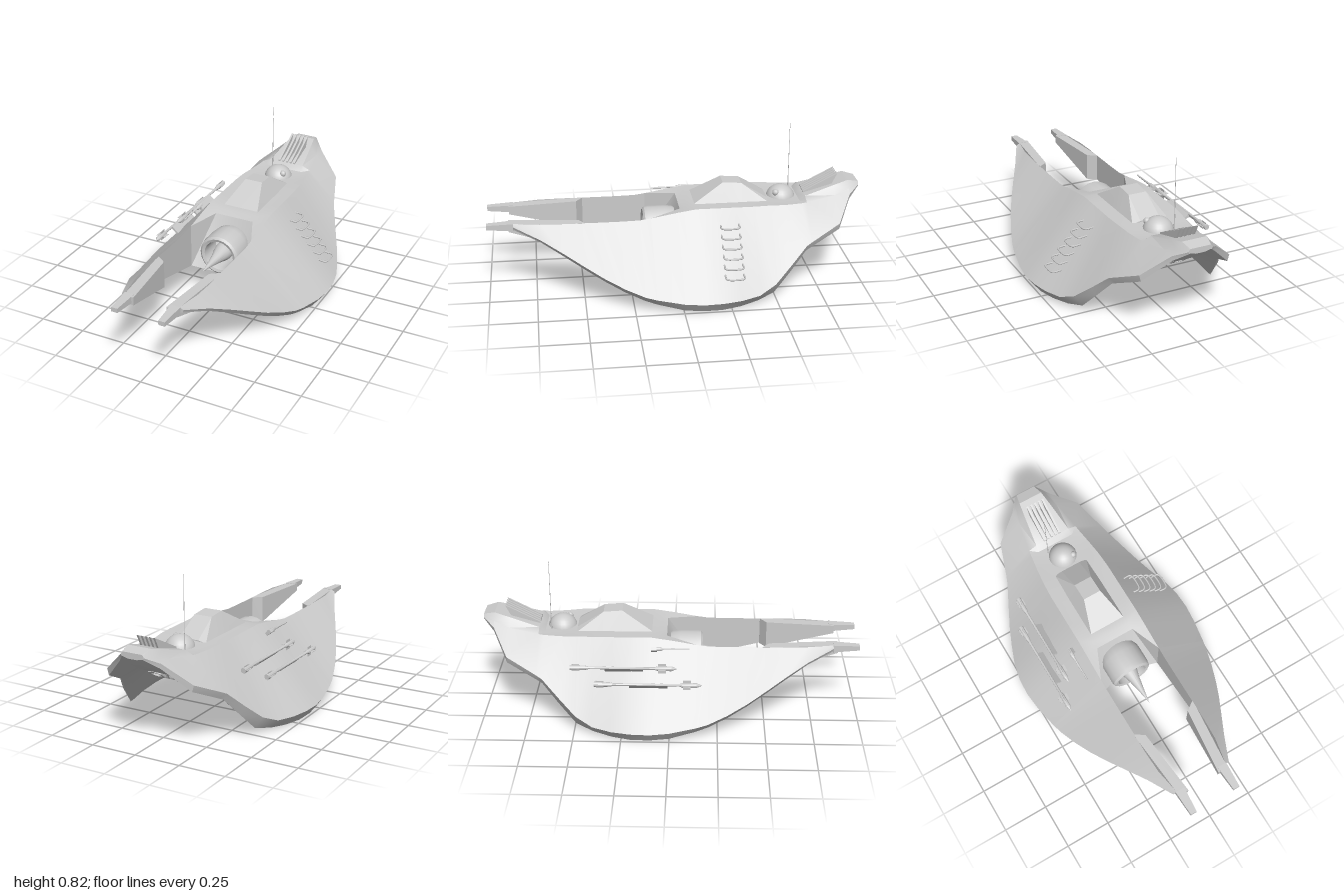
import * as THREE from 'three';
import { toCreasedNormals } from 'three/addons/utils/BufferGeometryUtils.js';

const mat = new THREE.MeshStandardMaterial({ color: 0xcccccc });
const flat = new THREE.MeshStandardMaterial({ color: 0xcccccc, flatShading: true });
const open = new THREE.MeshStandardMaterial({ color: 0xcccccc, side: THREE.DoubleSide });
const openFlat = new THREE.MeshStandardMaterial({ color: 0xcccccc, side: THREE.DoubleSide, flatShading: true });

function add(parent, name, geo, material = mat, x = 0, y = 0, z = 0) {
  const m = new THREE.Mesh(geo, material);
  m.name = name;
  m.position.set(x, y, z);
  parent.add(m);
  return m;
}

// Skins rings of [x, y, z] points (front to back, clockwise from the front) and mirrors them across x = 0.
function loft(rings, { closed = false, front = null, back = null, crease = 0.45 } = {}) {
  const pos = [];
  const tri = (a, b, c) => {
    pos.push(...a, ...b, ...c);
    for (const p of [a, c, b]) pos.push(-p[0], p[1], p[2]);
  };
  const n = rings[0].length;
  for (let i = 0; i + 1 < rings.length; i++) {
    for (let j = 0; j < (closed ? n : n - 1); j++) {
      const k = (j + 1) % n;
      const [a, b, c, d] = [rings[i][j], rings[i][k], rings[i + 1][k], rings[i + 1][j]];
      tri(a, b, c);
      tri(a, c, d);
    }
  }
  const cap = (ring, ids, flip) => {
    for (let k = 1; k + 1 < ids.length; k++) {
      const [a, b, c] = [ring[ids[0]], ring[ids[k]], ring[ids[k + 1]]];
      flip ? tri(a, c, b) : tri(a, b, c);
    }
  };
  if (front) cap(rings[0], front, true);
  if (back) cap(rings[rings.length - 1], back, false);
  const g = new THREE.BufferGeometry();
  g.setAttribute('position', new THREE.Float32BufferAttribute(pos, 3));
  return toCreasedNormals(g, crease);
}

// Flat plate cut from a [z, y] outline, w thick, centred on x
function plate(points, w, x) {
  const shape = new THREE.Shape(points.map(p => new THREE.Vector2(p[0], p[1])));
  return new THREE.ExtrudeGeometry(shape, { depth: w, bevelEnabled: false })
    .rotateY(-Math.PI / 2).translate(x + w / 2, 0, 0);
}

// Turned part along z from [radius, z] points
function turned(points, sides, crease = 0.6) {
  const g = new THREE.LatheGeometry(points.map(p => new THREE.Vector2(p[0], p[1])), sides);
  return toCreasedNormals(g.rotateX(Math.PI / 2), crease);
}

function addHull(g) {
  // z, ridge x y, outer top x y, outer bottom x y, deck y, keel y, deck half width
  const body = [
    [0.14, 0.18, 0.405, 0.49, 0.08, 0.455, 0.04, 0.425, 0.133, 0.11],
    [0, 0.18, 0.43, 0.515, 0.06, 0.48, 0.01, 0.435, 0.135, 0.11],
    [-0.1, 0.18, 0.445, 0.525, 0.055, 0.488, 0.003, 0.442, 0.145, 0.11],
    [-0.2, 0.18, 0.445, 0.52, 0.055, 0.48, 0, 0.442, 0.165, 0.11],
    [-0.3, 0.18, 0.445, 0.498, 0.055, 0.453, 0.002, 0.442, 0.187, 0.11],
    [-0.4, 0.18, 0.445, 0.46, 0.06, 0.415, 0.012, 0.442, 0.21, 0.11],
    [-0.49, 0.175, 0.445, 0.42, 0.1, 0.375, 0.035, 0.44, 0.235, 0.11],
    [-0.58, 0.165, 0.44, 0.37, 0.18, 0.34, 0.13, 0.435, 0.265, 0.108],
    [-0.67, 0.152, 0.44, 0.32, 0.265, 0.3, 0.23, 0.437, 0.3, 0.106],
    [-0.7, 0.148, 0.443, 0.308, 0.28, 0.29, 0.245, 0.462, 0.313, 0.102],
    [-0.86, 0.118, 0.465, 0.25, 0.355, 0.24, 0.32, 0.508, 0.385, 0.08],
    [-0.94, 0.095, 0.49, 0.12, 0.465, 0.115, 0.44, 0.53, 0.435, 0.068],
    [-1, 0.06, 0.51, 0.065, 0.5, 0.06, 0.49, 0.515, 0.484, 0.055],
  ];
  // The front edge of the deck is set back between the prongs
  const deckZ = z => (z > 0.1 ? -0.02 : z > -0.05 ? -0.06 : z);
  const bellyZ = z => (z > 0.1 ? 0.1 : z);
  add(g, 'hull', loft(body.map(([z, xr, yr, xo, yo, xb, yb, yt, yc, w]) => [
    [0, yt, deckZ(z)], [w, yt, deckZ(z)], [xr, yr, z], [xo, yo, z], [xb, yb, z], [xr, yc + xr * 0.15, z],
    [xr * 0.42, yc, bellyZ(z)], [0, yc, bellyZ(z)],
  ]), { front: [1, 2, 5, 6, 7, 0], back: [0, 1, 2, 3, 4, 5, 6, 7] }));

  // z, ridge x y, outer top x y, outer bottom x y, inner bottom x y
  const prong = [
    [0.86, 0.15, 0.397, 0.172, 0.387, 0.168, 0.372, 0.15, 0.365],
    [0.72, 0.175, 0.397, 0.238, 0.335, 0.222, 0.317, 0.175, 0.32],
    [0.6, 0.18, 0.396, 0.302, 0.277, 0.282, 0.255, 0.18, 0.285],
    [0.5, 0.18, 0.395, 0.355, 0.225, 0.33, 0.2, 0.18, 0.25],
    [0.4, 0.18, 0.395, 0.402, 0.173, 0.375, 0.147, 0.18, 0.225],
    [0.3, 0.18, 0.395, 0.442, 0.128, 0.412, 0.098, 0.18, 0.2],
    [0.2, 0.18, 0.397, 0.475, 0.092, 0.442, 0.058, 0.18, 0.175],
    [0.14, 0.18, 0.405, 0.49, 0.08, 0.455, 0.04, 0.18, 0.16],
  ];
  add(g, 'wingProngs', loft(prong.map(([z, ...p]) => [0, 2, 4, 6].map(i => [p[i], p[i + 1], z])),
    { closed: true, front: [0, 1, 2, 3] }));

  // Thickened inner blocks and tips of the prongs: z, inner x, outer x, bottom y, top y
  const box = ([z, a, b, lo, hi]) => [[a, hi, z], [b, hi, z], [b, lo, z], [a, lo, z]];
  const block = [[0.885, 0.092, 0.148, 0.352, 0.396], [0.52, 0.13, 0.181, 0.245, 0.395], [0.485, 0.179, 0.181, 0.245, 0.395]];
  const tip = [[1, 0.113, 0.148, 0.368, 0.392], [0.86, 0.103, 0.155, 0.358, 0.398]];
  for (const [name, rows] of [['prongBlocks', block], ['prongTips', tip]]) {
    add(g, name, loft(rows.map(box), { closed: true, front: [0, 1, 2, 3], back: [0, 1, 2, 3], crease: 0.1 }));
  }
}

function addEngine(g) {
  add(g, 'engineNacelle', turned([[0.09, -0.03], [0.11, 0.01], [0.115, 0.05], [0.115, 0.14], [0.112, 0.16], [0.1, 0.17],
    [0.085, 0.165], [0.08, 0.14], [0.08, 0.03], [0, 0.03]], 20), open, 0, 0.28, 0);
  add(g, 'engineSpike', turned([[0.05, 0.02], [0.05, 0.11], [0.044, 0.14], [0.03, 0.19], [0.014, 0.27], [0, 0.35]], 20),
    mat, 0, 0.28, 0);
  // Six-sided nozzle under the tail
  const nozzle = add(g, 'tailNozzle', new THREE.LatheGeometry(
    [[0.055, -0.04], [0.045, 0.015], [0.03, 0.015], [0.022, -0.005], [0, -0.005]].map(p => new THREE.Vector2(...p)), 6),
    openFlat, 0, 0.358, -0.79);
  nozzle.rotation.x = -Math.PI * 0.8;
}

function addDeck(g) {
  // Canopy: z, top half width, top y, base half width
  const canopy = [[-0.1, 0.1, 0.445, 0.105], [-0.26, 0.05, 0.54, 0.105], [-0.36, 0.05, 0.532, 0.105], [-0.5, 0.055, 0.446, 0.1]];
  add(g, 'canopy', loft(canopy.map(([z, w, y, b]) => [[0, y, z], [w, y, z], [b, 0.435, z]]),
    { back: [0, 1, 2], crease: 0.1 }));

  // Sensor dome, lens and aerial
  add(g, 'sensorDome', new THREE.SphereGeometry(0.08, 24, 8, 0, Math.PI * 2, 0, Math.PI / 2), mat, 0, 0.415, -0.585);
  add(g, 'domeLens', new THREE.SphereGeometry(0.018, 12, 8), mat, 0.045, 0.466, -0.55);
  add(g, 'aerial', new THREE.CylinderGeometry(0.0012, 0.002, 0.4, 6), mat, -0.062, 0.622, -0.64);
  add(g, 'aerialBase', new THREE.CylinderGeometry(0.003, 0.004, 0.09, 8), mat, -0.062, 0.475, -0.64);

  for (let i = -2; i <= 2; i++) {
    // Slanted vent blades on the tail
    add(g, 'ventBlade', plate([[-0.7, 0.45], [-0.85, 0.495], [-0.885, 0.565], [-0.7, 0.47]], 0.011, i * 0.0235), flat);
    // Keel ribs below
    add(g, 'keelRib', plate([[0.1, 0.102], [0.1, 0.14], [-0.05, 0.15], [-0.58, 0.285], [-0.61, 0.28],
      [-0.59, 0.25], [-0.08, 0.115], [0, 0.102]], 0.011, i * 0.032), flat);
  }
}

function addWingGear(g) {
  // Ladder of staple-shaped rungs on the left wing
  for (let i = 0; i < 6; i++) {
    const y = 0.37 - i * 0.041, x = 0.24 + i * 0.037;
    const pts = [[-0.01, -0.222], [0.03, -0.222], [0.04, -0.235], [0.04, -0.305], [0.03, -0.318], [-0.01, -0.318]]
      .map(([dx, z]) => new THREE.Vector3(x + dx, y - dx * 0.08, z));
    const path = new THREE.CatmullRomCurve3(pts, false, 'centripetal');
    add(g, 'wingRung', new THREE.TubeGeometry(path, 36, 0.005, 6), mat);
  }

  // Two missiles on pylons on the right wing
  for (const [x, y, z] of [[-0.387, 0.275, -0.11], [-0.325, 0.338, -0.24]]) {
    const m = new THREE.Group();
    m.name = 'missile';
    m.position.set(x, y, z);
    add(m, 'missileBody', turned([[0, -0.28], [0.014, -0.28], [0.012, -0.2], [0.007, -0.18], [0.007, 0.16],
      [0.013, 0.18], [0.013, 0.25], [0, 0.28]], 10));
    for (const [fz, span] of [[-0.25, 0.04], [0.2, 0.054]]) {
      add(m, 'finAcross', new THREE.BoxGeometry(span, 0.002, 0.04), mat, 0, 0, fz);
      add(m, 'finUpright', new THREE.BoxGeometry(0.002, span, 0.04), mat, 0, 0, fz);
    }
    const pylon = add(m, 'pylon', new THREE.BoxGeometry(0.012, 0.055, 0.2), mat, 0.018, -0.016, 0);
    pylon.rotation.z = 0.84;
    g.add(m);
  }

  // Small gun near the wing root
  const gun = new THREE.Group();
  gun.name = 'wingGun';
  gun.position.set(-0.242, 0.41, -0.08);
  add(gun, 'gunBarrel', turned([[0, -0.02], [0.011, -0.02], [0.011, 0.03], [0.006, 0.04], [0.004, 0.18], [0, 0.18]], 10));
  const mount = add(gun, 'gunMount', new THREE.BoxGeometry(0.018, 0.06, 0.03), mat, 0.014, -0.014, -0.005);
  mount.rotation.z = 0.84;
  g.add(gun);
}

export function createModel() {
  const g = new THREE.Group();
  g.name = 'gunship';
  addHull(g);
  addEngine(g);
  addDeck(g);
  addWingGear(g);
  return g;
}
